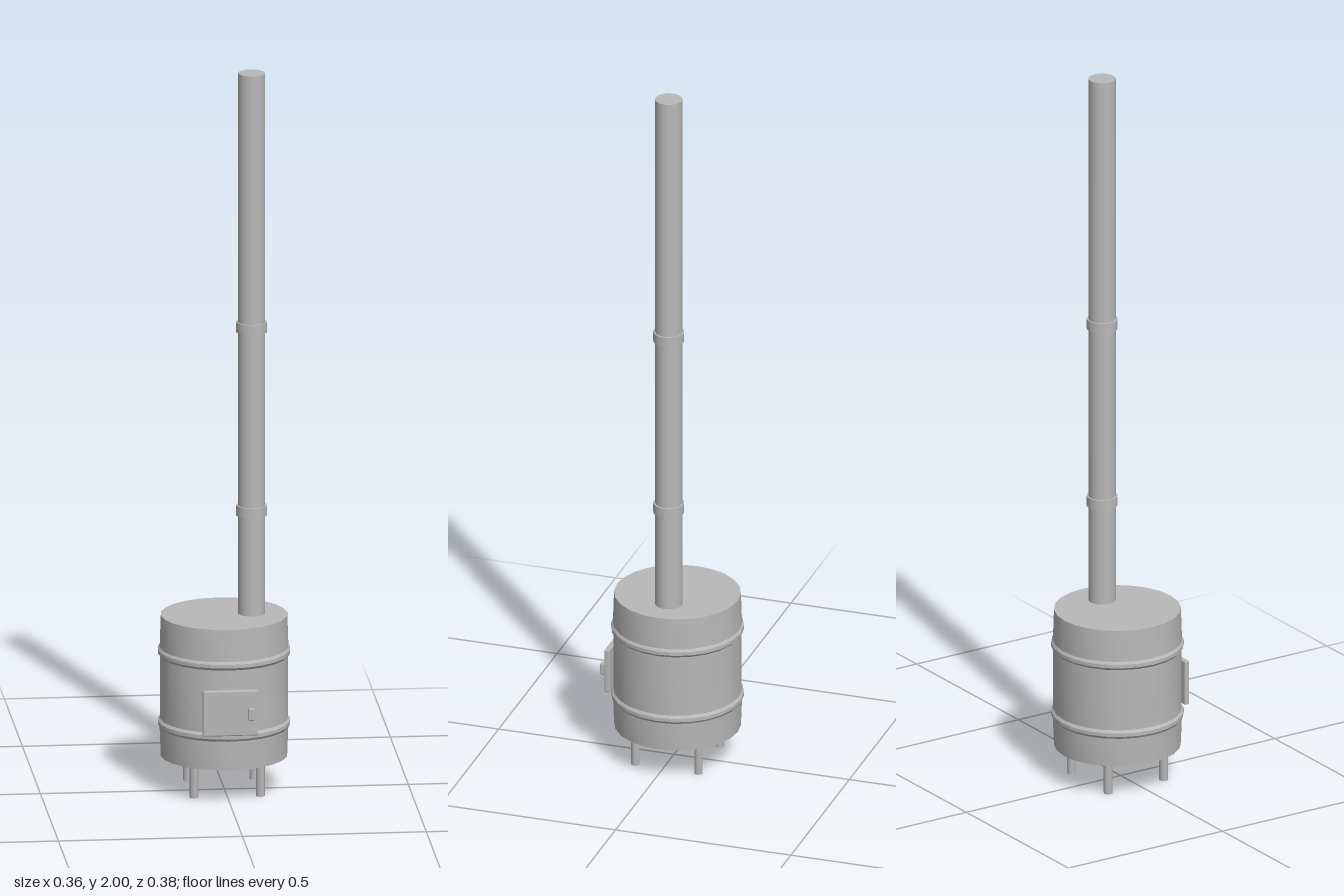
import * as THREE from 'three';
import { toCreasedNormals } from 'three/addons/utils/BufferGeometryUtils.js';
import { RoundedBoxGeometry } from 'three/addons/geometries/RoundedBoxGeometry.js';

const CENTRE_Z = -0.01;

export function createModel() {
  const stove = new THREE.Group();
  stove.name = 'barrelStove';
  const steel = new THREE.MeshStandardMaterial({ color: 0xb8b8b8 });
  steel.name = 'grey steel';

  const add = (name, geometry, x, y, z) => {
    const mesh = new THREE.Mesh(geometry, steel);
    mesh.name = name;
    mesh.position.set(x, y, z);
    stove.add(mesh);
    return mesh;
  };

  // Barrel body: closed drum with two raised ribs
  const profile = [
    [0, 0.095], [0.172, 0.095], [0.175, 0.176], [0.18, 0.183], [0.18, 0.193], [0.174, 0.2],
    [0.174, 0.375], [0.18, 0.382], [0.18, 0.392], [0.175, 0.399], [0.172, 0.488], [0, 0.488],
  ].map(([r, y]) => new THREE.Vector2(r, y));
  add('barrel', toCreasedNormals(new THREE.LatheGeometry(profile, 24), 0.5), 0, 0, CENTRE_Z);

  // Chimney pipe and its joint collars
  const pipeX = 0.075;
  add('chimneyPipe', new THREE.CylinderGeometry(0.037, 0.037, 1.52, 24), pipeX, 1.24, CENTRE_Z);
  for (const y of [0.777, 1.29]) {
    add('pipeCollar', new THREE.CylinderGeometry(0.042, 0.042, 0.028, 24), pipeX, y, CENTRE_Z);
  }

  // Four short legs
  for (const sx of [-1, 1]) {
    for (const sz of [-1, 1]) {
      add('leg', new THREE.CylinderGeometry(0.012, 0.012, 0.11, 8), sx * 0.09, 0.055, CENTRE_Z + sz * 0.09);
    }
  }

  // Fire door and latch
  add('fireDoor', new RoundedBoxGeometry(0.15, 0.127, 0.015, 2, 0.004), 0, 0.257, 0.167);
  add('doorLatch', new RoundedBoxGeometry(0.018, 0.034, 0.019, 2, 0.003), 0.056, 0.256, 0.1805);

  return stove;
}
